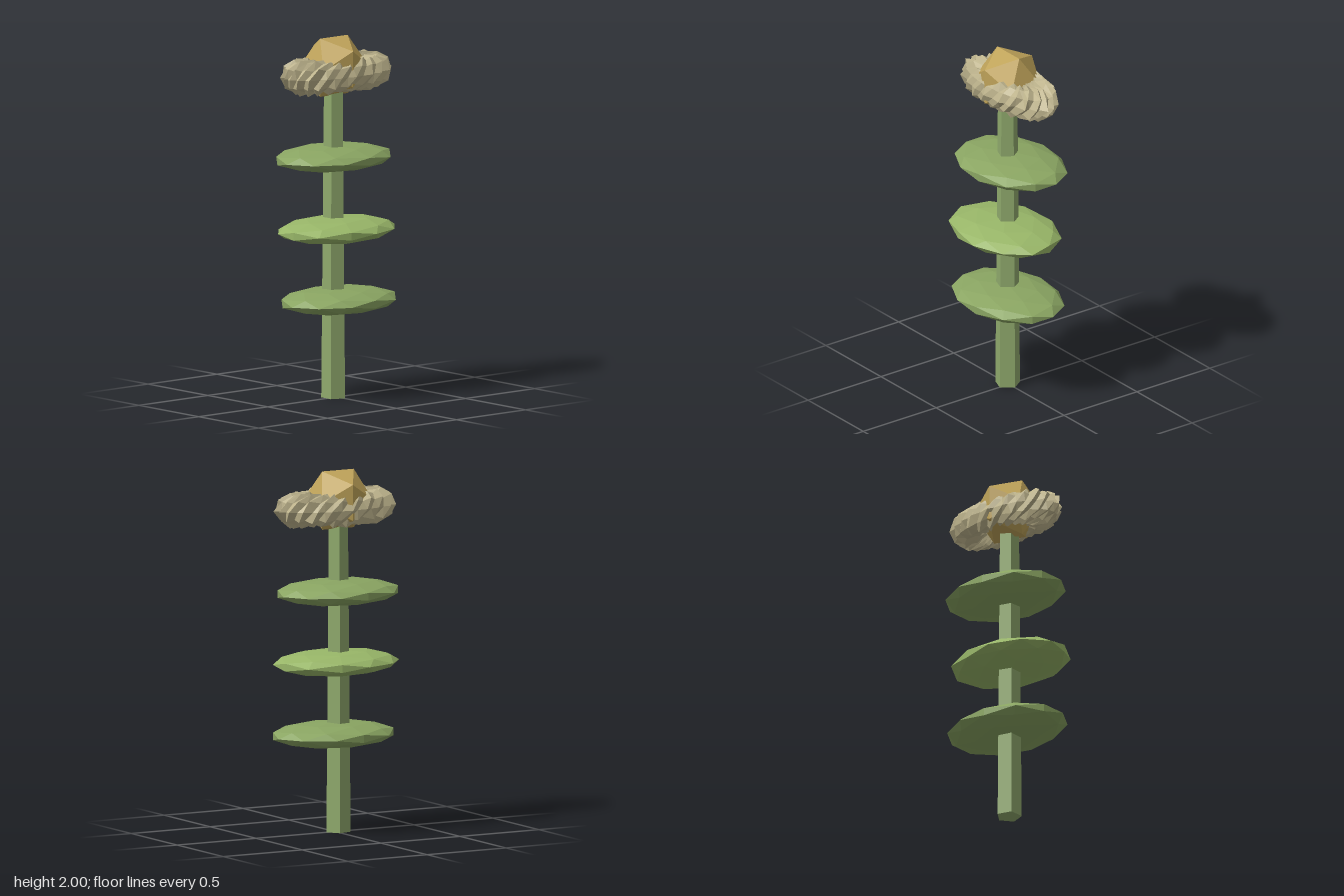
import * as THREE from 'three';

const paint = (color) => new THREE.MeshStandardMaterial({ color, flatShading: true });

// repeatable noise in 0..1
const noise = (a, b) => {
  const s = Math.sin(a * 12.99 + b * 78.23) * 43758.55;
  return s - Math.floor(s);
};

// Flattened faceted pad; the facets are turned before stretching
function makeLeaf(turn, color) {
  const geo = new THREE.IcosahedronGeometry(1, 1);
  geo.rotateY(turn);
  geo.scale(0.37, 0.07, 0.27);
  return new THREE.Mesh(geo, paint(color));
}

// Oval ring with a ragged, spiky surface
function makeCollar() {
  const R = 0.235, sides = 10, around = 44;
  const geo = new THREE.TorusGeometry(R, 0.1, sides, around);
  const pos = geo.attributes.position;
  for (let j = 0; j <= sides; j++) {
    for (let i = 0; i <= around; i++) {
      const a = i % around, b = j % sides;
      const spike = (a + b) % 2;
      const tube = spike ? 0.125 + 0.027 * noise(a, b) : 0.105 + 0.015 * noise(a, b);
      const u = ((a + 0.5 * (noise(b, a) - 0.5)) / around) * Math.PI * 2;
      const v = (b / sides) * Math.PI * 2;
      const r = R + tube * Math.cos(v);
      pos.setXYZ(j * (around + 1) + i, r * Math.cos(u), r * Math.sin(u), tube * Math.sin(v));
    }
  }
  geo.rotateX(Math.PI / 2);
  geo.scale(1, 0.7, 0.47);
  geo.computeVertexNormals();
  return new THREE.Mesh(geo, paint(0xbdb38c));
}

export function createModel() {
  const model = new THREE.Group();
  const add = (mesh, name, x, y, z) => {
    mesh.name = name;
    mesh.position.set(x, y, z);
    model.add(mesh);
  };

  // Tapered five-sided stem
  const stem = new THREE.CylinderGeometry(0.056, 0.071, 1.74, 5, 1, false, 0.28);
  add(new THREE.Mesh(stem, paint(0x8fa96c)), 'stem', -0.016, 0.87, -0.003);

  // Three stacked leaf pads
  [
    [0.005, 0.54, 0.01, 0.68, 0x8aa562],
    [-0.015, 0.935, 0.015, -0.85, 0x98b668],
    [-0.007, 1.33, -0.02, 0.68, 0x8aa562],
  ].forEach(([x, y, z, turn, color], i) => add(makeLeaf(turn, color), `leaf${i + 1}`, x, y, z));

  // Spiky flower collar and faceted core
  add(makeCollar(), 'flowerCollar', 0, 1.797, -0.005);
  add(new THREE.Mesh(new THREE.IcosahedronGeometry(0.19, 0), paint(0xc0a45a)), 'flowerCore', -0.015, 1.838, -0.007);

  return model;
}
